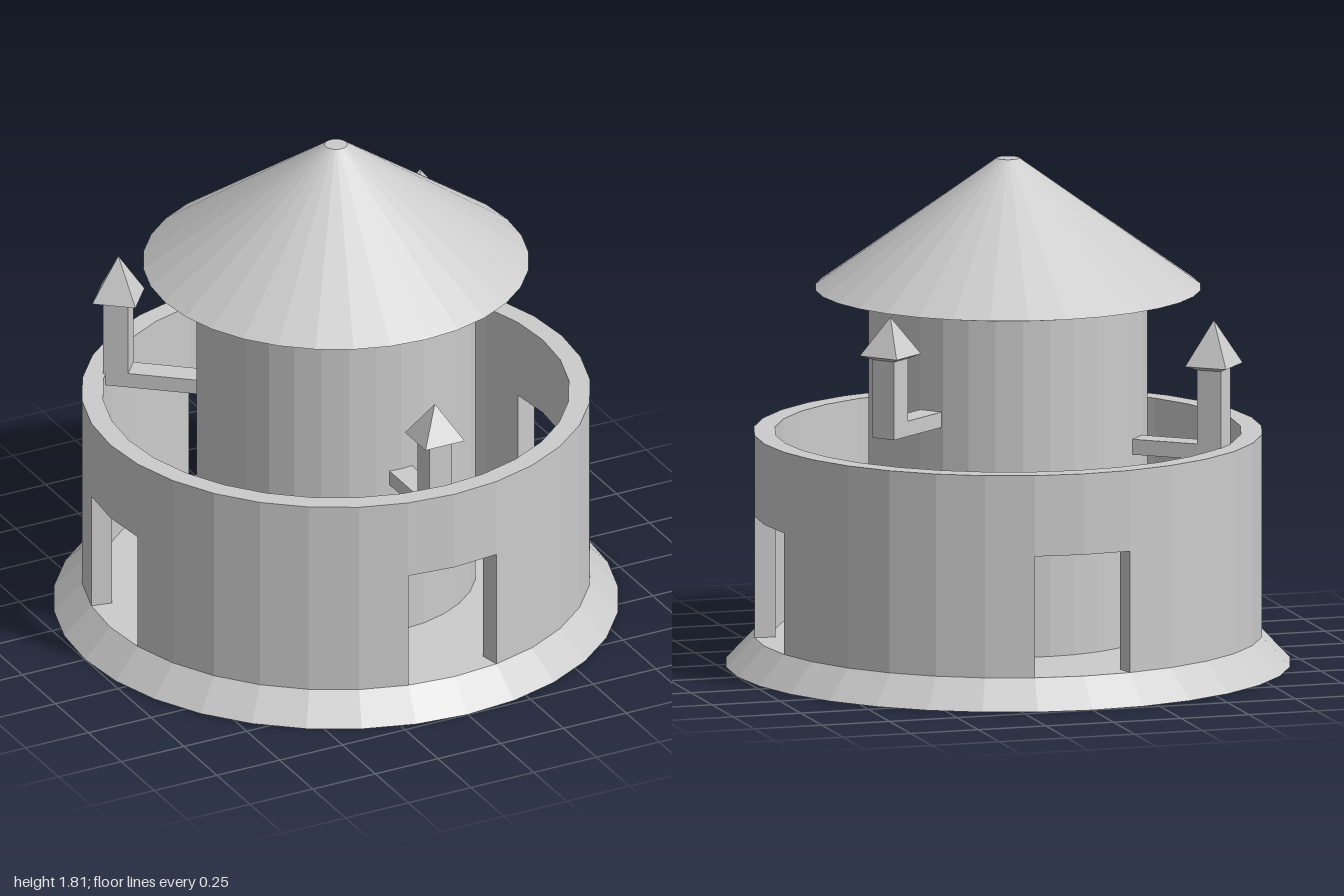
import * as THREE from 'three';

const SIDES = 32;
const STEP = (Math.PI * 2) / SIDES;
const material = new THREE.MeshStandardMaterial({ color: 0xcccccc, flatShading: true });

function mesh(name, geometry) {
  const m = new THREE.Mesh(geometry, material);
  m.name = name;
  return m;
}

// Faceted solid turned from [radius, height] points, listed bottom to top
function turned(name, points, sides = SIDES, start = 0) {
  const profile = points.map(([r, y]) => new THREE.Vector2(r, y));
  return mesh(name, new THREE.LatheGeometry(profile, sides, start));
}

// Piece of the ring wall covering whole facets from index a to b
function wallPiece(name, a, b, y0, y1) {
  const outer = [], inner = [];
  for (let i = a; i <= b; i++) {
    const c = Math.cos(i * STEP), s = Math.sin(i * STEP);
    outer.push(new THREE.Vector2(0.9 * c, 0.9 * s));
    inner.unshift(new THREE.Vector2(0.825 * c, 0.825 * s));
  }
  const geometry = new THREE.ExtrudeGeometry(new THREE.Shape([...outer, ...inner]), {
    depth: y1 - y0, bevelEnabled: false,
  });
  geometry.rotateX(-Math.PI / 2).translate(0, y0, 0);
  return mesh(name, geometry);
}

// Small square turret carried on an arm from the tower
function turret(name, x, z, base, eave, tip) {
  const group = new THREE.Group();
  group.name = name;
  group.rotation.y = Math.atan2(x, z);
  const reach = Math.hypot(x, z);
  const w = 0.09, armHeight = 0.055, from = 0.46;

  const armLength = reach - w / 2 - from;
  const arm = mesh('turretArm', new THREE.BoxGeometry(w, armHeight, armLength));
  arm.position.set(0, base + armHeight / 2, from + armLength / 2);

  const height = eave - 0.01 - base;
  const shaft = mesh('turretShaft', new THREE.BoxGeometry(w, height, w));
  shaft.position.set(0, base + height / 2, reach);

  const k = Math.SQRT2;
  const roof = turned('turretRoof',
    [[0, eave - 0.015], [0.045 * k, eave - 0.015], [0.078 * k, eave], [0, tip]], 4, Math.PI / 4);
  roof.position.z = reach;

  group.add(arm, shaft, roof);
  return group;
}

export function createModel() {
  const model = new THREE.Group();
  model.name = 'roundTower';

  // Sloped base, central tower and wide conical roof
  model.add(turned('base', [[0, 0], [1, 0], [0.9, 0.105], [0, 0.105]]));
  model.add(turned('tower', [[0.495, 0.105], [0.495, 1.31]]));
  model.add(turned('roof', [[0, 1.31], [0.495, 1.31], [0.683, 1.345], [0.04, 1.808], [0, 1.808]]));

  // Ring wall: four curved walls with a doorway on each axis
  for (let q = 0; q < 4; q++) {
    const i = q * 8;
    model.add(wallPiece('ringWall', i + 1, i + 7, 0.105, 0.83));
    model.add(wallPiece('doorLintel', i - 1, i + 1, 0.54, 0.83));
  }

  // Turrets at rising heights
  model.add(turret('frontTurret', 0, 0.75, 0.69, 0.99, 1.12));
  model.add(turret('backRightTurret', -0.605, -0.5, 0.785, 1.12, 1.28));
  model.add(turret('backLeftTurret', 0.583, -0.475, 0.92, 1.215, 1.35));
  return model;
}
